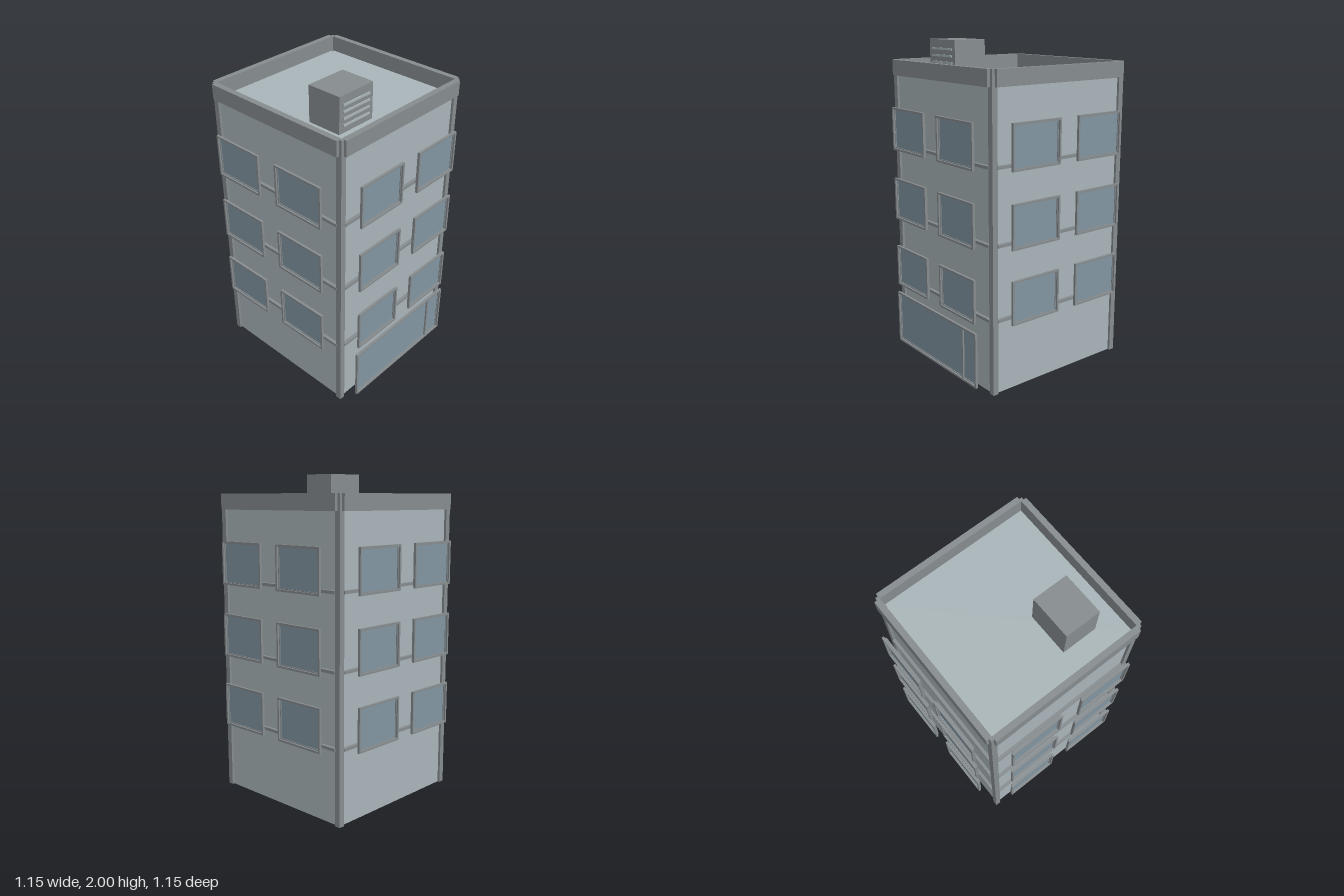
import * as THREE from 'three';

const WALL = new THREE.MeshStandardMaterial({ color: 0xa9b5b9 });
const TRIM = new THREE.MeshStandardMaterial({ color: 0x868c8f });
const GLASS = new THREE.MeshStandardMaterial({ color: 0x8195a1 });

// Box given by its minimum and maximum corners
function box(parent, name, material, [x0, y0, z0], [x1, y1, z1]) {
  const mesh = new THREE.Mesh(new THREE.BoxGeometry(x1 - x0, y1 - y0, z1 - z0), material);
  mesh.position.set((x0 + x1) / 2, (y0 + y1) / 2, (z0 + z1) / 2);
  mesh.name = name;
  parent.add(mesh);
  return mesh;
}

// Rectangular ring of width t, standing between z0 and z1
function ring(parent, name, w, h, t, z0, z1) {
  const rect = (path, a, b) =>
    path.moveTo(-a, -b).lineTo(a, -b).lineTo(a, b).lineTo(-a, b).closePath();
  const shape = new THREE.Shape();
  rect(shape, w / 2, h / 2);
  const hole = new THREE.Path();
  rect(hole, w / 2 - t, h / 2 - t);
  shape.holes.push(hole);
  const geometry = new THREE.ExtrudeGeometry(shape, { depth: z1 - z0, bevelEnabled: false });
  const mesh = new THREE.Mesh(geometry, TRIM);
  mesh.position.z = z0;
  mesh.name = name;
  parent.add(mesh);
}

// Framed pane: outer frame, narrower inner frame, glass
function pane(name, w, h) {
  const group = new THREE.Group();
  group.name = name;
  ring(group, 'outerFrame', w, h, 0.012, 0.558, 0.573);
  const iw = w - 0.02, ih = h - 0.02;
  ring(group, 'innerFrame', iw, ih, 0.007, 0.549, 0.562);
  box(group, 'glass', GLASS, [-iw / 2 + 0.003, -ih / 2 + 0.003, 0.551], [iw / 2 - 0.003, ih / 2 - 0.003, 0.557]);
  return group;
}

export function createModel() {
  const model = new THREE.Group();
  model.name = 'building';

  const ROOF = 1.78, TOP = 1.875;
  box(model, 'walls', WALL, [-0.485, 0, -0.485], [0.485, ROOF, 0.485]);

  // The four sides share windows, ledges and parapet
  ['front', 'left', 'back', 'right'].forEach((label, i) => {
    const side = new THREE.Group();
    side.name = label + 'Side';
    side.rotation.y = i * Math.PI / 2;
    model.add(side);

    for (let floor = 0; floor < 3; floor++) {
      const y = 0.57 + floor * 0.445;
      box(side, 'ledge', TRIM, [-0.466, y - 0.123, 0.48], [0.466, y - 0.105, 0.505]);
      for (const s of [-1, 1]) {
        const window = pane('window', 0.348, 0.265);
        window.position.set(s * 0.241, y, 0);
        side.add(window);
      }
    }
    box(side, 'parapet', TRIM, [-0.482, ROOF, 0.482], [0.482, TOP, 0.518]);
    box(side, 'parapetCorner', TRIM, [0.482, ROOF, 0.482], [0.5, TOP, 0.5]);
    box(side, 'cornerPost', TRIM, [0.464, 0, 0.464], [0.5, ROOF, 0.5]);
    // Underside of the overhanging parapet
    if (i === 0) {
      // Shop window with a narrow door panel
      const shop = pane('shopFront', 0.852, 0.342);
      shop.position.y = 0.21;
      box(shop, 'doorPost', TRIM, [0.282, -0.16, 0.55], [0.294, 0.16, 0.568]);
      side.add(shop);
    }
  });

  // Rooftop unit with louvres on its front
  const unit = new THREE.Group();
  unit.name = 'rooftopUnit';
  model.add(unit);
  box(unit, 'unitBody', TRIM, [-0.337, ROOF, 0.113], [-0.072, 2, 0.334]);
  for (let k = 0; k < 4; k++) {
    const y = 1.825 + k * 0.04;
    box(unit, 'louvre', WALL, [-0.308, y - 0.006, 0.33], [-0.1, y + 0.006, 0.341]);
  }
  return model;
}
